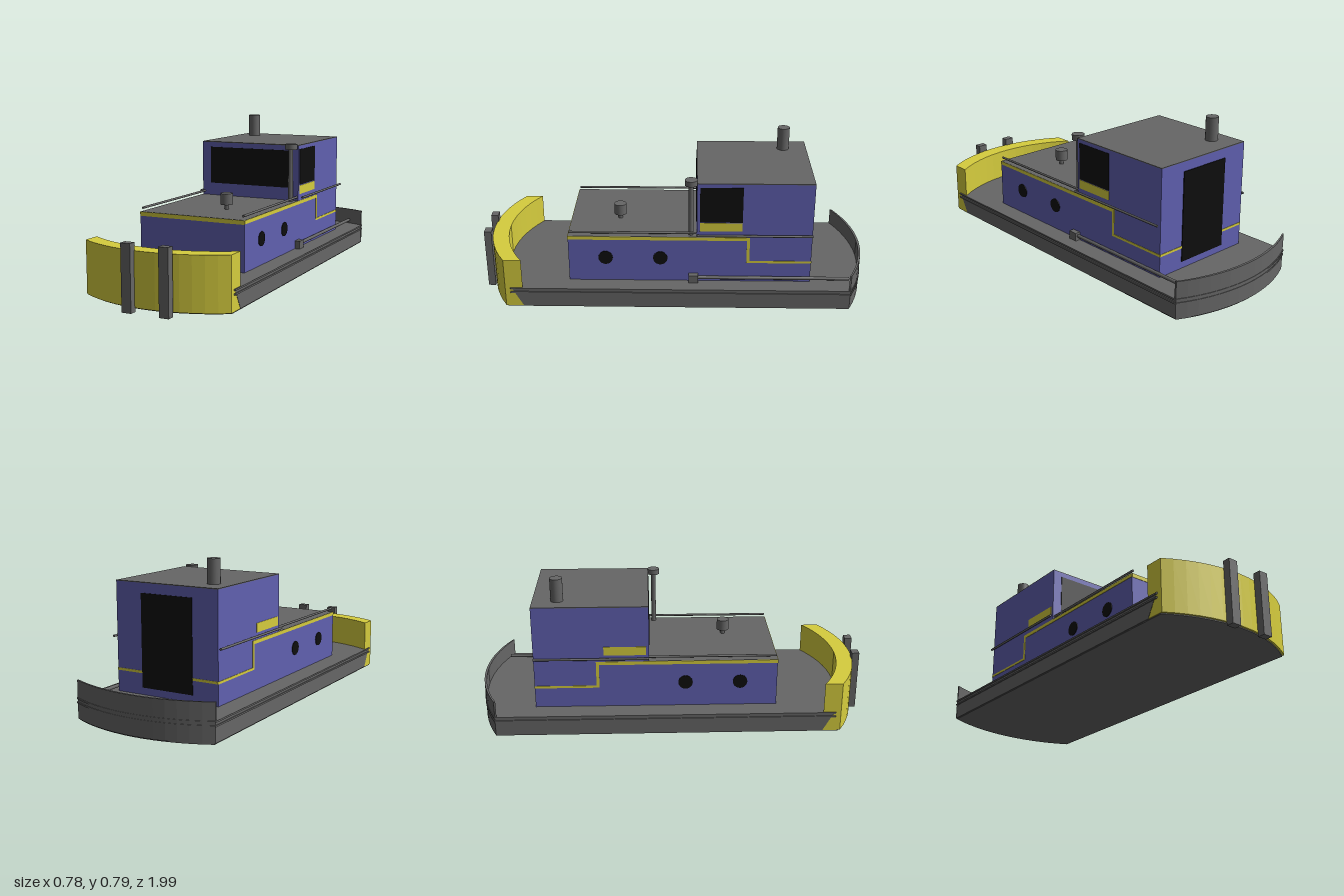
import * as THREE from 'three';

const mat = (name, color, side = THREE.FrontSide) => {
  const m = new THREE.MeshStandardMaterial({ color, side });
  m.name = name;
  return m;
};

export function createModel() {
  const boat = new THREE.Group();
  boat.name = 'workBoat';
  const grey = mat('steelGrey', 0x666666);
  const blue = mat('cabinBlue', 0x6060b0);
  const yellow = mat('safetyYellow', 0xd6cd3e);
  const black = mat('glassBlack', 0x0e0e0e);

  const add = (name, geo, material) => {
    const m = new THREE.Mesh(geo, material);
    m.name = name;
    boat.add(m);
    return m;
  };
  // box from its limits on each axis
  const box = (name, material, [x0, x1], [y0, y1], [z0, z1]) =>
    add(name, new THREE.BoxGeometry(x1 - x0, y1 - y0, z1 - z0), material)
      .position.set((x0 + x1) / 2, (y0 + y1) / 2, (z0 + z1) / 2);
  // upright cylinder
  const post = (name, material, x, z, r, y0, y1) =>
    add(name, new THREE.CylinderGeometry(r, r, y1 - y0, 20), material).position.set(x, (y0 + y1) / 2, z);
  // tube running fore and aft
  const rail = (name, x, y, r, z0, z1) => {
    const m = add(name, new THREE.CylinderGeometry(r, r, z1 - z0, 10), grey);
    m.rotation.x = Math.PI / 2;
    m.position.set(x, y, (z0 + z1) / 2);
  };
  // points [x, z] of a circular arc from +x to -x, bulging from zEnd to zTip
  const arc = (half, zEnd, zTip, n = 14) => {
    const s = zTip - zEnd, h = Math.abs(s);
    const r = (half * half + h * h) / (2 * h), a = Math.asin(half / r);
    return Array.from({ length: n + 1 }, (_, i) => {
      const t = a - (2 * a * i) / n;
      return [r * Math.sin(t), zTip - Math.sign(s) * r * (1 - Math.cos(t))];
    });
  };
  // flat outline in x and z raised between two heights
  const slab = (points, y0, y1) => {
    const shape = new THREE.Shape(points.map(([x, z]) => new THREE.Vector2(x, -z)));
    const g = new THREE.ExtrudeGeometry(shape, { depth: y1 - y0, bevelEnabled: false });
    return g.rotateX(-Math.PI / 2).translate(0, y0, 0);
  };
  const outline = (half, bowEnd, bowTip, sternEnd, sternTip) =>
    [...arc(half, bowEnd, bowTip), ...arc(half, sternEnd, sternTip).reverse()];

  // hull with raked bow
  const hull = slab(outline(0.384, 0.825, 0.94, -0.897, -0.987), 0.02, 0.12);
  const p = hull.attributes.position;
  for (let i = 0; i < p.count; i++) {
    if (p.getZ(i) > 0 && p.getY(i) < 0.05) p.setZ(i, p.getZ(i) - 0.055);
  }
  hull.computeVertexNormals();
  add('hull', hull, grey);
  add('bottomPlate', slab(outline(0.38, 0.85, 0.96, -0.895, -0.985), 0.015, 0.021), grey);
  for (const y of [0.1, 0.12]) {
    add('rubRail', slab(outline(0.389, 0.832, 0.935, -0.9, -0.992), y - 0.004, y + 0.004), grey);
  }

  // stern bulwark
  add('sternBulwark', slab([...arc(0.386, -0.897, -0.99), ...arc(0.386, -0.888, -0.978).reverse()], 0.02, 0.21), grey);

  // bow fender and push posts
  add('bowFender', slab([...arc(0.383, 0.86, 0.97), ...arc(0.383, 0.77, 0.885).reverse()], 0.02, 0.283), yellow);
  for (const x of [-0.098, 0.097]) box('pushPost', grey, [x, x + 0.05], [0, 0.32], [0.962, 1]);

  // cabins and roofs
  const L = -0.28, R = 0.292;
  box('lowerCabin', blue, [L, R], [0.12, 0.372], [-0.7, 0.54]);
  box('lowerCabinRoof', grey, [L, R], [0.372, 0.376], [-0.115, 0.54]);
  box('wheelhouse', blue, [L, R], [0.372, 0.668], [-0.7, -0.115]);
  box('wheelhouseRoof', grey, [L, R], [0.668, 0.672], [-0.7, -0.115]);

  // painted stripes
  const t = 0.002;
  box('frontStripe', yellow, [L, R], [0.355, 0.375], [0.54, 0.54 + t]);
  for (const x of [L - t, R]) {
    const X = [x, x + t];
    box('upperStripe', yellow, X, [0.357, 0.375], [-0.385, 0.54]);
    box('stripeDrop', yellow, X, [0.23, 0.36], [-0.385, -0.37]);
    box('lowerStripe', yellow, X, [0.23, 0.242], [-0.7, -0.37]);
    box('windowPanel', yellow, X, [0.41, 0.456], [-0.345, -0.13]);
  }
  box('backStripe', yellow, [L, R], [0.23, 0.242], [-0.7 - t, -0.7]);

  // windows, door and portholes
  box('frontWindow', black, [-0.23, 0.25], [0.443, 0.642], [-0.115, -0.112]);
  box('sideWindow', black, [R, R + t], [0.46, 0.65], [-0.345, -0.13]);
  box('backDoor', black, [-0.14, 0.146], [0.16, 0.62], [-0.704, -0.7]);
  for (const x of [L, R]) for (const z of [0.35, 0.07]) {
    const m = add('porthole', new THREE.CylinderGeometry(0.037, 0.037, 0.006, 20), black);
    m.rotation.z = Math.PI / 2;
    m.position.set(x, 0.255, z);
  }

  // handrails along both cabins
  for (const x of [-0.269, 0.283]) rail('foreHandrail', x, 0.395, 0.006, -0.115, 0.535);
  for (const x of [-0.294, 0.315]) rail('aftHandrail', x, 0.395, 0.006, -0.7, -0.115);

  // deck pipe with its end box
  box('pipeBox', grey, [0.28, 0.32], [0.12, 0.167], [-0.125, -0.075]);
  rail('deckPipe', 0.302, 0.148, 0.009, -0.9, -0.1);

  // funnel, mast lamp and deck vent
  post('funnel', grey, -0.181, -0.575, 0.032, 0.67, 0.792);
  post('mast', grey, 0.26, -0.085, 0.0125, 0.374, 0.655);
  post('mastLamp', grey, 0.262, -0.085, 0.032, 0.652, 0.68);
  post('ventStem', grey, 0.07, 0.285, 0.012, 0.374, 0.402);
  post('ventCap', grey, 0.069, 0.285, 0.032, 0.4, 0.457);

  return boat;
}
